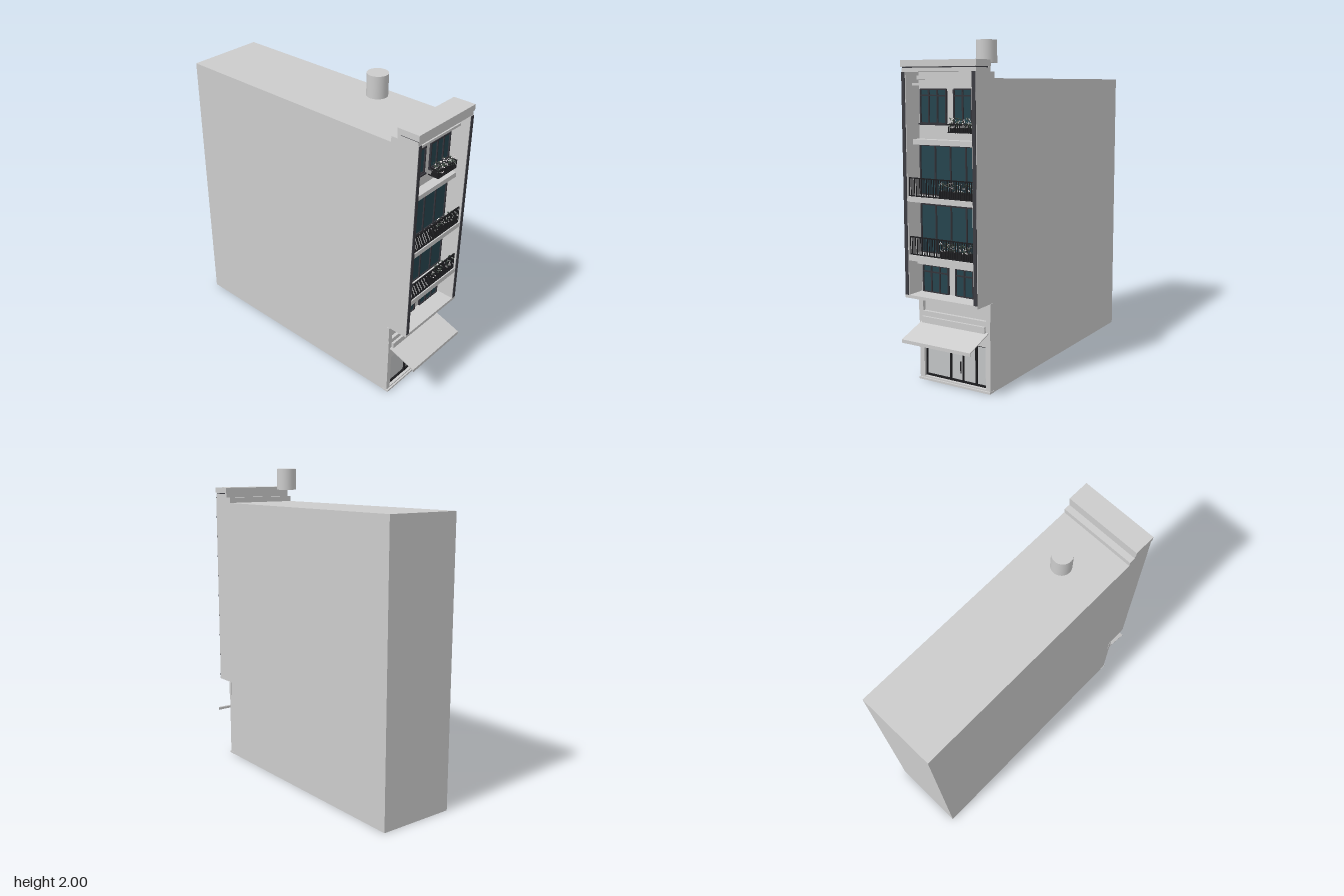
import * as THREE from 'three';
import { mergeGeometries } from 'three/addons/utils/BufferGeometryUtils.js';

const mat = (name, color, extra = {}) => new THREE.MeshStandardMaterial({ name, color, ...extra });

export function createModel() {
  const wall = mat('grey wall', 0xcccccc);
  const pane = mat('shop glass', 0xc2c4c5);
  const glass = mat('teal glass', 0x26444e);
  const frame = mat('window frame', 0x34343a);
  const iron = mat('black iron', 0x1d1d20);
  const strip = mat('charcoal trim', 0x3c3c42);
  const petal = mat('white petals', 0xdcd6d6);
  const leaf = mat('leaves', 0x3d4a40);

  const model = new THREE.Group();
  model.name = 'townhouse';

  // Box geometry from its limits on each axis
  const boxGeo = (x0, x1, y0, y1, z0, z1) =>
    new THREE.BoxGeometry(x1 - x0, y1 - y0, z1 - z0)
      .translate((x0 + x1) / 2, (y0 + y1) / 2, (z0 + z1) / 2);
  const add = (name, geo, material, parent = model) => {
    const mesh = new THREE.Mesh(geo, material);
    mesh.name = name;
    parent.add(mesh);
    return mesh;
  };
  const box = (name, material, ...limits) => add(name, boxGeo(...limits), material);
  const group = (name) => {
    const g = new THREE.Group();
    g.name = name;
    model.add(g);
    return g;
  };

  let seed = 7;
  const rand = () => (seed = (seed * 16807) % 2147483647) / 2147483647;

  // Main block, with the stepped parapet behind the facade
  const profile = new THREE.Shape([
    [-0.91, 0], [0.69, 0], [0.69, 0.42], [0.705, 0.42], [0.705, 0.525], [0.73, 0.525],
    [0.73, 1.87], [0.71, 1.87], [0.71, 1.81], [0.67, 1.81], [0.67, 1.775], [-0.91, 1.775],
  ].map(([x, y]) => new THREE.Vector2(x, y)));
  add('mainBlock', new THREE.ExtrudeGeometry(profile, { depth: 0.5, bevelEnabled: false })
    .translate(0, 0, -0.25), wall);
  box('plinth', wall, 0.69, 0.736, 0, 0.012, -0.252, 0.252);

  // Roof tank
  add('roofTank', new THREE.CylinderGeometry(0.062, 0.062, 0.134, 32).translate(0.367, 1.933, 0), wall);

  // Overhanging frame around the balconies
  box('frameTop', wall, 0.73, 0.845, 1.81, 1.832, -0.25, 0.25);
  box('corniceGroove', strip, 0.73, 0.842, 1.832, 1.838, -0.248, 0.248);
  box('cornice', wall, 0.71, 0.852, 1.838, 1.874, -0.253, 0.253);
  box('frameBottom', wall, 0.73, 0.85, 0.525, 0.543, -0.25, 0.25);
  for (const s of [1, -1]) {
    const span = (a, b) => (s > 0 ? [a, b] : [-b, -a]);
    box('frameSide', wall, 0.73, 0.848, 0.543, 1.81, ...span(0.222, 0.25));
    box('frameTrim', strip, 0.848, 0.852, 0.543, 1.81, ...span(0.226, 0.248));
    box('cornerPost', wall, 0.705, 0.725, 0.42, 0.525, ...span(0.222, 0.253));
  }

  // Slabs and ledges between the storeys
  for (const [y0, y1, x1] of [
    [0.745, 0.778, 0.846], [1.085, 1.115, 0.846], [1.405, 1.435, 0.79],
    [0.712, 0.725, 0.77], [1.735, 1.75, 0.79], [1.77, 1.79, 0.75],
  ]) box('ledge', wall, 0.73, x1, y0, y1, -0.222, 0.222);

  // Window: glass plate with an outer frame, mullions and an optional transom
  function addWindow(y0, y1, z0, z1, panels, transom) {
    const g = group('window');
    add('windowGlass', boxGeo(0.729, 0.734, y0, y1, z0, z1), glass, g);
    const t = 0.004;
    const bars = [];
    for (let i = 0; i <= panels; i++) {
      const z = z0 + ((z1 - z0) * i) / panels;
      bars.push(boxGeo(0.73, 0.742, y0, y1, z - t, z + t));
    }
    for (const y of transom ? [y0, transom, y1] : [y0, y1])
      bars.push(boxGeo(0.73, 0.741, y - t, y + t, z0, z1));
    add('windowFrame', mergeGeometries(bars), frame, g);
  }
  for (const [z0, z1] of [[0.027, 0.205], [-0.205, -0.027]]) {
    addWindow(1.525, 1.715, z0, z1, 3, 1.68);
    addWindow(0.545, 0.703, z0, z1, 3, 0.665);
    box('windowSill', frame, 0.73, 0.752, 1.515, 1.524, z0 - 0.005, z1 + 0.005);
  }
  addWindow(1.118, 1.4, -0.212, 0.212, 4);
  addWindow(0.78, 1.06, -0.212, 0.212, 4);

  // Iron railing made of slim bars in the z direction
  function railing(name, x, y0, y1, z0, z1, count) {
    const bars = [];
    for (let i = 0; i <= count; i++) {
      const z = z0 + ((z1 - z0) * i) / count;
      bars.push(boxGeo(x - 0.002, x + 0.002, y0, y1, z - 0.0018, z + 0.0018));
    }
    for (const y of [y0 + 0.004, y1 - 0.003])
      bars.push(boxGeo(x - 0.004, x + 0.004, y - 0.003, y + 0.003, z0, z1));
    add(name, mergeGeometries(bars), iron);
  }

  // Loose cluster of little leaves and blossoms
  function flowers(x0, x1, y0, y1, z0, z1, count) {
    const g = group('flowers');
    for (const [name, material, r] of [['blossoms', petal, 0.0045], ['foliage', leaf, 0.006]]) {
      const blobs = [];
      for (let i = 0; i < count; i++)
        blobs.push(new THREE.OctahedronGeometry(r * (0.6 + 0.6 * rand())).translate(
          x0 + (x1 - x0) * rand(), y0 + (y1 - y0) * rand(), z0 + (z1 - z0) * rand()));
      add(name, mergeGeometries(blobs), material, g);
    }
  }

  // Two balconies with flower troughs
  for (const y of [0.778, 1.115]) {
    railing('balconyRailing', 0.835, y, y + 0.108, -0.218, 0.218, 36);
    box('flowerTrough', iron, 0.8, 0.83, y + 0.005, y + 0.04, -0.212, 0.018);
    flowers(0.805, 0.842, y + 0.042, y + 0.09, -0.205, 0.015, 70);
  }

  // Window box on the top storey
  box('windowBox', iron, 0.745, 0.79, 1.482, 1.505, -0.195, -0.035);
  railing('windowBoxRailing', 0.797, 1.478, 1.528, -0.203, -0.03, 14);
  for (const z of [-0.203, -0.03])
    for (const y of [1.481, 1.525])
      box('windowBoxBracket', iron, 0.73, 0.8, y - 0.003, y + 0.003, z - 0.003, z + 0.003);
  flowers(0.745, 0.805, 1.505, 1.56, -0.2, -0.035, 65);

  // Shop front wall with its opening
  const front = new THREE.Shape([[-0.25, 0.012], [0.25, 0.012], [0.25, 0.42], [-0.25, 0.42]]
    .map(([z, y]) => new THREE.Vector2(z, y)));
  front.holes.push(new THREE.Path([[-0.218, 0.02], [-0.218, 0.27], [0.218, 0.27], [0.218, 0.02]]
    .map(([z, y]) => new THREE.Vector2(z, y))));
  add('shopWall', new THREE.ExtrudeGeometry(front, { depth: 0.035, bevelEnabled: false })
    .rotateY(Math.PI / 2).translate(0.69, 0, 0), wall);
  box('shopGlass', pane, 0.688, 0.696, 0.02, 0.27, -0.218, 0.218);

  // Shop door frame and handles
  const bars = [[0.216, 0.004], [0.04, 0.005], [-0.047, 0.003], [-0.14, 0.005], [-0.214, 0.004]]
    .map(([z, t]) => boxGeo(0.695, 0.708, 0.02, 0.27, z - t, z + t));
  for (const y of [0.026, 0.265]) bars.push(boxGeo(0.695, 0.708, y - 0.005, y + 0.005, -0.218, 0.218));
  for (const z of [-0.038, -0.056]) bars.push(boxGeo(0.712, 0.717, 0.08, 0.15, z - 0.003, z + 0.003));
  add('shopDoorFrame', mergeGeometries(bars), iron);

  // Sloping canopy with a hanging front edge
  box('canopyCase', wall, 0.72, 0.74, 0.352, 0.39, -0.22, 0.22);
  const canopy = new THREE.Shape([
    [0.722, 0.35], [0.905, 0.288], [0.905, 0.272], [0.909, 0.272], [0.909, 0.292], [0.722, 0.356],
  ].map(([x, y]) => new THREE.Vector2(x, y)));
  add('canopy', new THREE.ExtrudeGeometry(canopy, { depth: 0.474, bevelEnabled: false })
    .translate(0, 0, -0.238), wall);

  return model;
}
